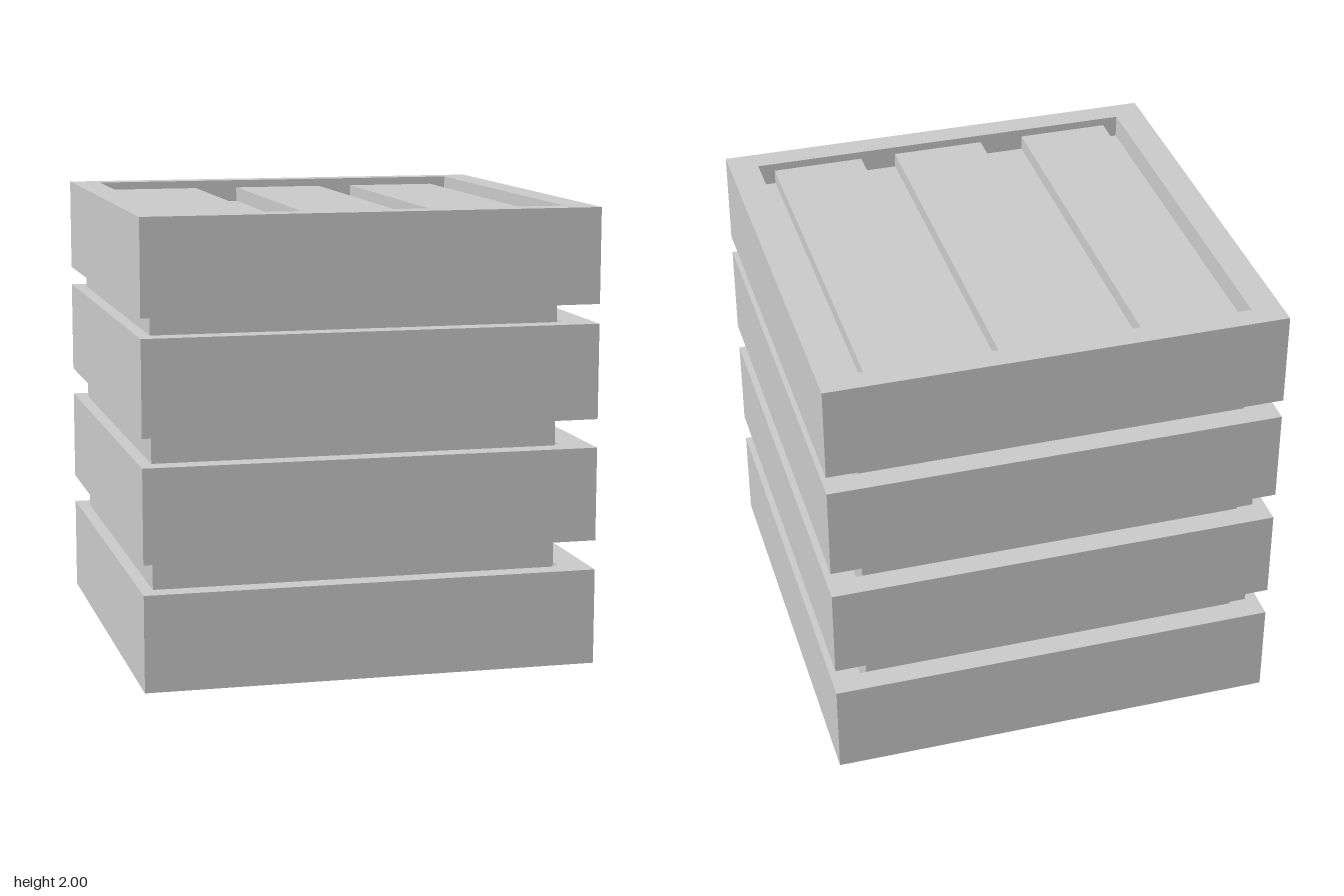
import * as THREE from 'three';

const material = new THREE.MeshStandardMaterial({ color: 0xcccccc, flatShading: true });

// Axis-aligned box given by its [min, max] range on each axis
function block(name, [x0, x1], [y0, y1], [z0, z1]) {
  const mesh = new THREE.Mesh(new THREE.BoxGeometry(x1 - x0, y1 - y0, z1 - z0), material);
  mesh.position.set((x0 + x1) / 2, (y0 + y1) / 2, (z0 + z1) / 2);
  mesh.name = name;
  return mesh;
}

function rectangle(path, x0, x1, y0, y1) {
  return path.moveTo(x0, y0).lineTo(x1, y0).lineTo(x1, y1).lineTo(x0, y1).closePath();
}

// Square frame with a rectangular opening, lying flat
function frame(y0, y1) {
  const shape = rectangle(new THREE.Shape(), -0.995, 0.995, -0.995, 0.995);
  shape.holes.push(rectangle(new THREE.Path(), -0.865, 0.865, -0.885, 0.89));
  const geometry = new THREE.ExtrudeGeometry(shape, { depth: y1 - y0, bevelEnabled: false });
  geometry.rotateX(-Math.PI / 2);
  const mesh = new THREE.Mesh(geometry, material);
  mesh.position.y = y0;
  mesh.name = 'sideFrame';
  return mesh;
}

export function createModel() {
  const crate = new THREE.Group();
  crate.name = 'crate';

  // Four stacked frames with gaps between them
  for (const [y0, y1] of [[0, 0.42], [0.55, 0.96], [1.085, 1.5], [1.585, 2]]) {
    crate.add(frame(y0, y1));
  }

  // Inner box, slightly off centre, seen through the gaps
  crate.add(block('innerBox', [-0.94, 0.835], [0.115, 1.9], [-0.88, 0.9]));

  // Lid planks
  for (const x of [[-0.8, -0.395], [-0.195, 0.22], [0.38, 0.79]]) {
    crate.add(block('lidPlank', x, [1.9, 1.965], [-0.89, 0.885]));
  }
  return crate;
}
